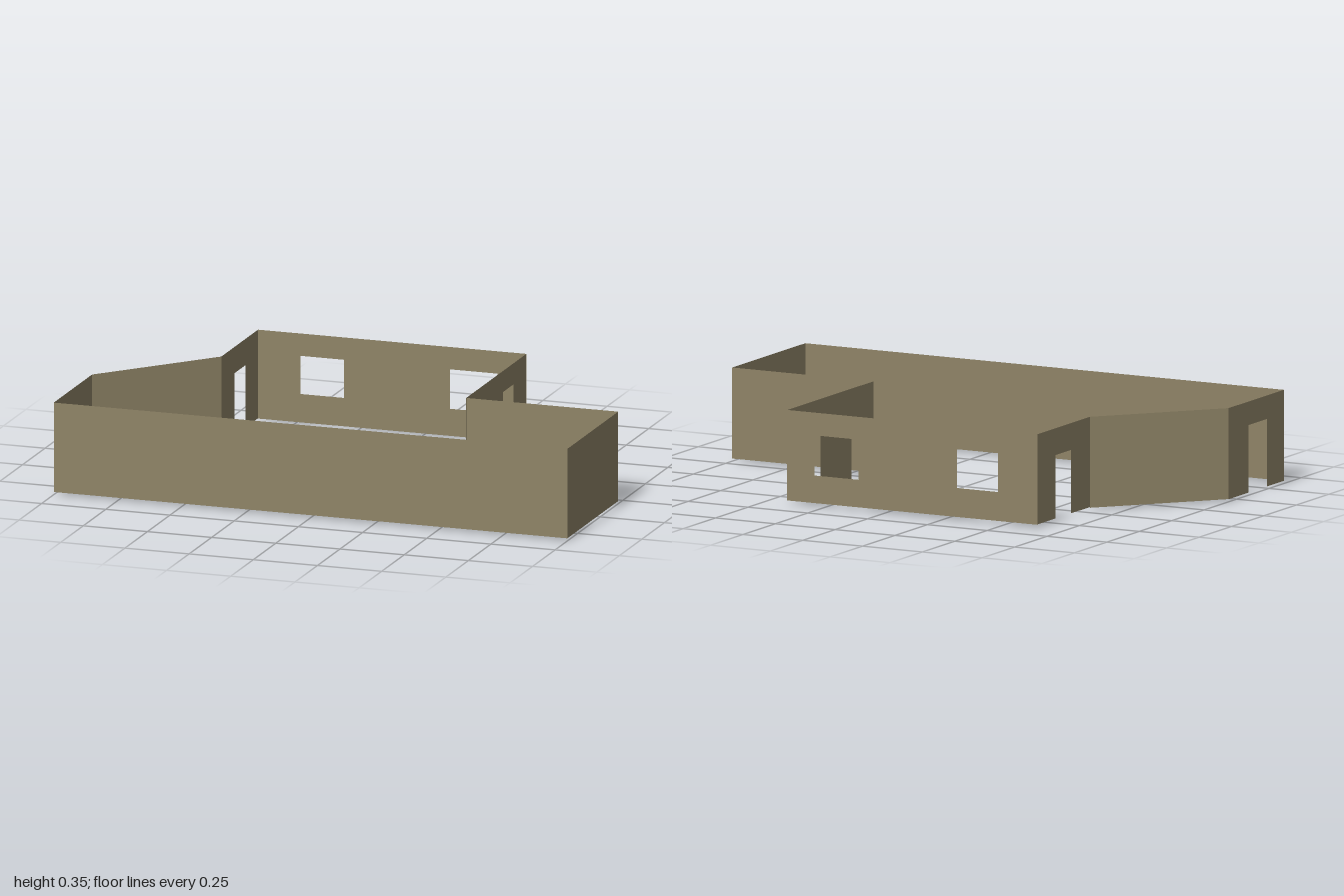
import * as THREE from 'three';

const TOP = 0.35;

// Flat wall standing between two plan points [x, z].
// doors: [start, end, top] notches in order along the wall; windows: [start, end, bottom, top] holes.
function wall(name, material, [x0, z0], [x1, z1], base, doors = [], windows = []) {
  const dx = x1 - x0, dz = z1 - z0, length = Math.hypot(dx, dz);
  const shape = new THREE.Shape();
  shape.moveTo(0, base);
  for (const [s, e, top] of doors) {
    shape.lineTo(s, base);
    shape.lineTo(s, top);
    shape.lineTo(e, top);
    shape.lineTo(e, base);
  }
  shape.lineTo(length, base);
  shape.lineTo(length, TOP);
  shape.lineTo(0, TOP);
  shape.closePath();
  for (const [s, e, low, high] of windows) {
    const hole = new THREE.Path();
    hole.moveTo(s, low);
    hole.lineTo(s, high);
    hole.lineTo(e, high);
    hole.lineTo(e, low);
    hole.closePath();
    shape.holes.push(hole);
  }
  const mesh = new THREE.Mesh(new THREE.ShapeGeometry(shape), material);
  mesh.name = name;
  mesh.position.set(x0, 0, z0);
  mesh.rotation.y = -Math.atan2(dz, dx);
  return mesh;
}

export function createModel() {
  const group = new THREE.Group();
  group.name = 'roomWalls';
  const plaster = new THREE.MeshStandardMaterial({ color: 0x8f8467, side: THREE.DoubleSide });
  plaster.name = 'wallPlaster';
  const add = (name, ...args) => group.add(wall(name, plaster, ...args));

  // Long front wall in two lengths
  add('frontWallMain', [-1, 0.615], [0.41, 0.615], 0.01);
  add('frontWallAlcove', [0.41, 0.615], [1, 0.615], 0.01);

  // Alcove at the left
  add('alcoveSideWall', [1, 0.615], [1, 0.05], 0.01);
  add('alcoveBackWall', [1, 0.05], [0.41, 0.05], 0.01);

  // Left wall with two doorways; the front length reaches the ground
  add('leftWallFront', [0.408, 0.05], [0.408, -0.24], 0, [[0.062, 0.172, 0.22]]);
  add('leftWallBack', [0.408, -0.24], [0.408, -0.615], 0.013, [[0.12, 0.232, 0.27]]);

  // Back wall with two windows
  add('backWall', [0.408, -0.617], [-0.638, -0.617], 0.012, [],
    [[0.113, 0.298, 0.115, 0.265], [0.71, 0.88, 0.12, 0.265]]);

  // Right side: short wall with doorway, slanted wall, end wall with doorway
  add('rightWallBack', [-0.637, -0.615], [-0.637, -0.21], 0.013, [[0.139, 0.257, 0.25]]);
  add('slantedWall', [-0.637, -0.21], [-1, 0.19], 0.01);
  add('rightWallFront', [-1, 0.19], [-1, 0.615], 0.01, [[0.152, 0.295, 0.262]]);

  return group;
}
